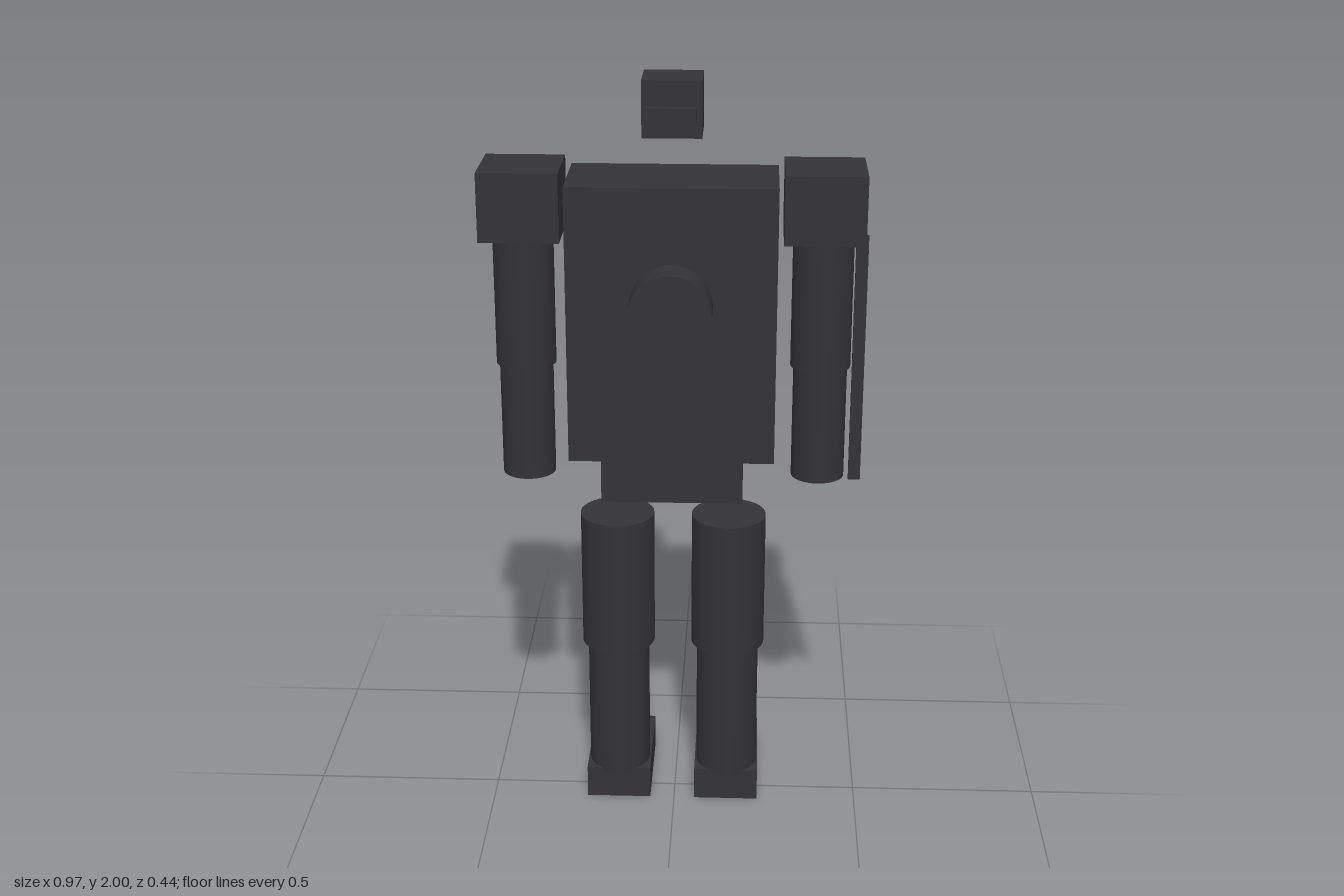
import * as THREE from 'three';

export function createModel() {
  const model = new THREE.Group();
  model.name = 'blockRobot';
  const body = new THREE.Group();
  body.name = 'body';
  // the blade on the left arm shifts the body slightly off centre
  body.position.set(-0.005, 0, -0.0025);
  model.add(body);

  const material = new THREE.MeshStandardMaterial({ color: 0x333338 });

  function add(name, geometry, x, y, z) {
    const mesh = new THREE.Mesh(geometry, material);
    mesh.name = name;
    mesh.position.set(x, y, z);
    body.add(mesh);
    return mesh;
  }
  // box between heights y0 and y1
  const box = (name, x, y0, y1, z, width, depth) =>
    add(name, new THREE.BoxGeometry(width, y1 - y0, depth), x, (y0 + y1) / 2, z);
  // upright round limb between heights y0 and y1
  const limb = (name, x, y0, y1, radius) =>
    add(name, new THREE.CylinderGeometry(radius, radius, y1 - y0, 32), x, (y0 + y1) / 2, 0);

  // head and floating visor
  box('head', 0, 1.859, 2, 0, 0.148, 0.132);
  box('visor', 0, 1.915, 1.95, 0.139, 0.125, 0.018);

  // trunk
  box('torso', 0, 1.033, 1.75, 0, 0.526, 0.249);
  box('pelvis', 0, 0.904, 1.033, 0, 0.367, 0.174);

  // round chest core, facing forward
  const core = add('chestCore', new THREE.CylinderGeometry(0.104, 0.104, 0.1, 32), 0, 1.454, 0.17);
  core.rotation.x = Math.PI / 2;

  // arms and legs, mirrored
  for (const [side, s] of [['left', 1], ['right', -1]]) {
    box(side + 'Shoulder', s * 0.378, 1.602, 1.777, 0, 0.202, 0.204);
    limb(side + 'UpperArm', s * 0.378, 1.26, 1.602, 0.077);
    limb(side + 'Forearm', s * 0.378, 0.957, 1.26, 0.069);

    limb(side + 'Thigh', s * 0.148, 0.462, 0.838, 0.098);
    limb(side + 'Shin', s * 0.148, 0.08, 0.462, 0.083);
    box(side + 'Foot', s * 0.148, 0, 0.09, -0.0735, 0.174, 0.288);
  }

  // thin blade along the left arm
  box('blade', 0.473, 0.957, 1.612, 0.031, 0.031, 0.012);

  return model;
}
